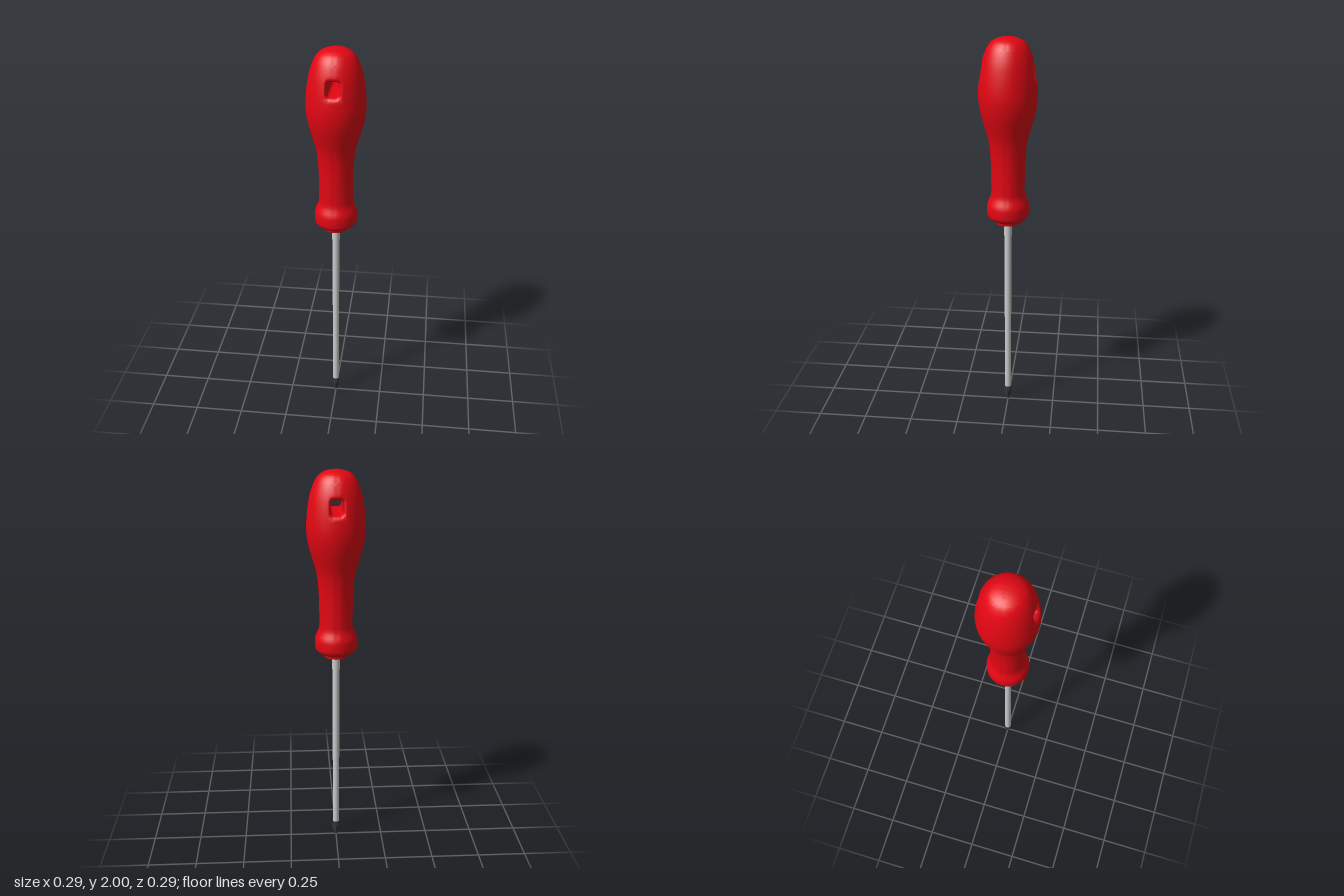
import * as THREE from 'three';
import { toCreasedNormals } from 'three/addons/utils/BufferGeometryUtils.js';

const V2 = (x, y) => new THREE.Vector2(x, y);
const V3 = (x, y, z) => new THREE.Vector3(x, y, z);
const lerp = THREE.MathUtils.lerp;

// Handle outline (radius, height), bottom to top
function handleProfile() {
  const collar = [[0, 1.063], [0.062, 1.063], [0.064, 1.078], [0.08, 1.082], [0.096, 1.094], [0.104, 1.104],
    [0.106, 1.115], [0.106, 1.155], [0.104, 1.168], [0.098, 1.183], [0.09, 1.2], [0.086, 1.213]];
  const grip = [[0.084, 1.23], [0.084, 1.3], [0.085, 1.37], [0.089, 1.44], [0.098, 1.505], [0.116, 1.57],
    [0.135, 1.64], [0.144, 1.71], [0.1405, 1.79], [0.128, 1.87], [0.112, 1.923], [0.095, 1.957],
    [0.074, 1.98], [0.04, 1.995], [0, 2]];
  const curve = new THREE.SplineCurve(grip.map(p => V2(...p)));
  return [...collar.map(p => V2(...p)), ...curve.getPoints(70)];
}

// Turned handle with a rounded-square hanging hole running through it along z
function handleGeometry() {
  const N = 64, HALF = 6;
  const prof = handleProfile();
  const lo = prof.findIndex(p => p.y > 1.735);
  const hi = prof.findIndex(p => p.y > 1.94);
  const out = [];
  const quad = (a, b, c, d) => {
    for (const v of [a, b, c, a, c, d]) out.push(v.x, v.y, v.z);
  };
  const at = (i, j) => {
    const t = ((i + N) % N) / N * Math.PI * 2;
    return V3(prof[j].x * Math.sin(t), prof[j].y, prof[j].x * Math.cos(t));
  };
  const radius = y => {
    let j = lo;
    while (j < hi - 1 && prof[j + 1].y < y) j++;
    return lerp(prof[j].x, prof[j + 1].x, (y - prof[j].y) / (prof[j + 1].y - prof[j].y));
  };

  // Turned surface, leaving a window at front and back
  for (let j = 0; j < prof.length - 1; j++) {
    for (let i = 0; i < N; i++) {
      const k = (i + HALF) % (N / 2);
      if (j >= lo && j < hi && k < 2 * HALF) continue;
      quad(at(i, j), at(i + 1, j), at(i + 1, j + 1), at(i, j + 1));
    }
  }

  // Window border, anticlockwise, as grid indices
  const border = [];
  for (let i = -HALF; i < HALF; i++) border.push([i, lo]);
  for (let j = lo; j < hi; j++) border.push([HALF, j]);
  for (let i = HALF; i > -HALF; i--) border.push([i, hi]);
  for (let j = hi; j > lo; j--) border.push([-HALF, j]);

  const CY = 1.838;
  const ring = (w, h) => border.map(([i, j]) => {
    const p = i / HALF, q = (2 * j - lo - hi) / (hi - lo);
    const s = 1 / Math.pow(p ** 4 + q ** 4, 0.25);
    return V2(w * p * s, CY + h * q * s);
  });
  const onSurface = (x, y, depth = 0) => V3(x, y, Math.sqrt(radius(y) ** 2 - x * x) - depth);

  // Loops from the border to the mouth, over the rounded lip, then inward
  const W = 0.044, H = 0.056, w = 0.03, h = 0.035, DEPTH = 0.024;
  const mouth = ring(W, H);
  const loops = [border.map(([i, j]) => at(i, j))];
  for (let s = 1; s <= 4; s++) {
    loops.push(mouth.map((m, k) => {
      const b = loops[0][k];
      return onSurface(lerp(b.x, m.x, s / 4), lerp(b.y, m.y, s / 4));
    }));
  }
  for (let s = 1; s <= 6; s++) {
    const a = s / 6 * Math.PI / 2, f = Math.sin(a);
    loops.push(ring(lerp(W, w, f), lerp(H, h, f)).map(p => onSurface(p.x, p.y, DEPTH * (1 - Math.cos(a)))));
  }
  loops.push(ring(w, h).map(p => V3(p.x, p.y, 0)));

  for (const s of [1, -1]) {
    const turn = v => V3(v.x * s, v.y, v.z * s);
    for (let l = 0; l < loops.length - 1; l++) {
      for (let k = 0; k < border.length; k++) {
        const n = (k + 1) % border.length;
        quad(turn(loops[l][k]), turn(loops[l][n]), turn(loops[l + 1][n]), turn(loops[l + 1][k]));
      }
    }
  }
  const g = new THREE.BufferGeometry();
  g.setAttribute('position', new THREE.Float32BufferAttribute(out, 3));
  return toCreasedNormals(g, 0.65);
}

// Cross-shaped driver tip: a tapered bar with four flutes pressed in
function tipGeometry() {
  const outline = [[0, 0], [0.005, 0.002], [0.01, 0.013], [0.0175, 0.03], [0.0185, 0.04],
    [0.0185, 0.05], [0.0185, 0.062], [0.0185, 0.085], [0, 0.085]];
  const g = new THREE.LatheGeometry(outline.map(p => V2(...p)), 48);
  const pos = g.attributes.position;
  for (let i = 0; i < pos.count; i++) {
    const x = pos.getX(i), y = pos.getY(i), z = pos.getZ(i);
    const flute = Math.abs(Math.sin(2 * Math.atan2(x, z))) ** 1.5;
    const cut = 1 - 0.5 * flute * THREE.MathUtils.clamp((0.062 - y) / 0.04, 0, 1);
    pos.setXYZ(i, x * cut, y, z * cut);
  }
  return toCreasedNormals(g, 0.6);
}

export function createModel() {
  const group = new THREE.Group();
  const red = new THREE.MeshStandardMaterial({ color: 0xe30613 });
  const grey = new THREE.MeshStandardMaterial({ color: 0xcccccc });
  const dark = new THREE.MeshStandardMaterial({ color: 0x38383c });
  const add = (name, geometry, material, y = 0) => {
    const mesh = new THREE.Mesh(geometry, material);
    mesh.name = name;
    mesh.position.y = y;
    group.add(mesh);
  };
  const rod = (r, y0, y1) => new THREE.CylinderGeometry(r, r, y1 - y0, 32);

  add('handle', handleGeometry(), red);
  add('shaft', rod(0.0175, 0.08, 1.07), grey, 0.575);
  add('shaftSleeve', rod(0.0195, 0.99, 1.07), grey, 1.03);
  add('tip', tipGeometry(), dark);
  return group;
}
